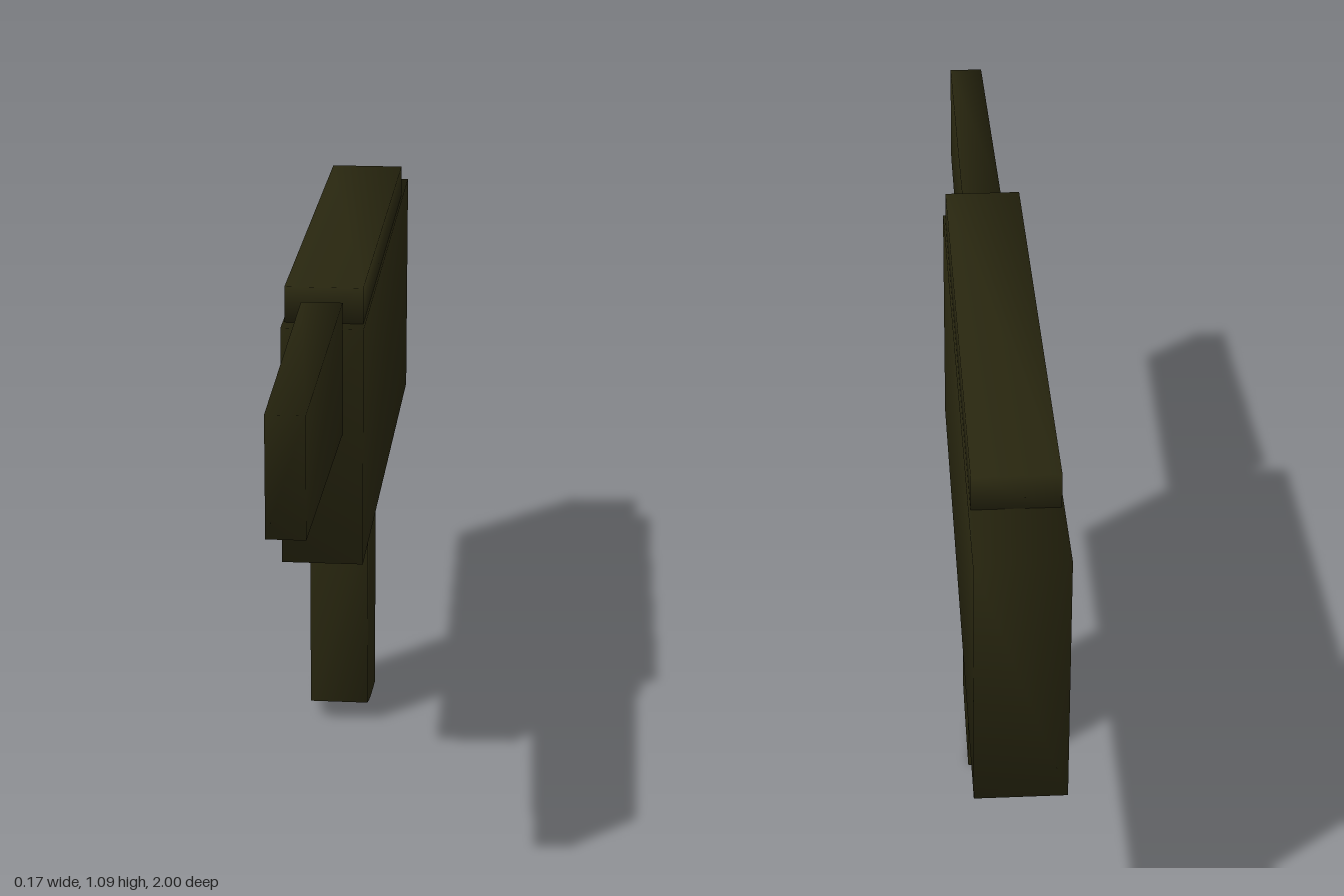
import * as THREE from 'three';

// Closed solid through rectangular sections [z, yBottom, yTop, halfWidth], front to back.
// Corners are shared, so the normals blend softly across the edges.
function loft(name, sections, material) {
  const positions = [];
  const index = [0, 1, 2, 0, 2, 3];
  sections.forEach(([z, y0, y1, w], s) => {
    positions.push(-w, y0, z, w, y0, z, w, y1, z, -w, y1, z);
    if (s === sections.length - 1) return;
    for (let k = 0; k < 4; k++) {
      const a = s * 4 + k;
      const b = s * 4 + (k + 1) % 4;
      index.push(a, a + 4, b + 4, a, b + 4, b);
    }
  });
  const e = (sections.length - 1) * 4;
  index.push(e, e + 2, e + 1, e, e + 3, e + 2);

  const geometry = new THREE.BufferGeometry();
  geometry.setAttribute('position', new THREE.Float32BufferAttribute(positions, 3));
  geometry.setIndex(index);
  geometry.computeVertexNormals();
  const mesh = new THREE.Mesh(geometry, material);
  mesh.name = name;
  return mesh;
}

export function createModel() {
  const group = new THREE.Group();
  group.name = 'toyBlaster';
  const darkOlive = new THREE.MeshStandardMaterial({ color: 0x28260f });
  darkOlive.name = 'darkOlive';

  group.add(
    // Main housing, slightly deeper toward the back
    loft('body', [[0.325, 0.52, 1.01, 0.082], [-1, 0.506, 1.025, 0.086]], darkOlive),
    // Raised cover along the top
    loft('topCover', [[0.283, 1.008, 1.083, 0.078], [-0.828, 1.015, 1.092, 0.081]], darkOlive),
    // Tapered barrel
    loft('barrel', [[1, 0.816, 1.043, 0.036], [0.325, 0.795, 1.064, 0.041]], darkOlive),
    // Grip with a curved underside
    loft('grip', [
      [-0.065, 0.045, 0.517, 0.063],
      [-0.12, 0.029, 0.516, 0.063],
      [-0.175, 0.017, 0.515, 0.063],
      [-0.23, 0.008, 0.515, 0.063],
      [-0.29, 0, 0.514, 0.063],
    ], darkOlive),
  );
  return group;
}
